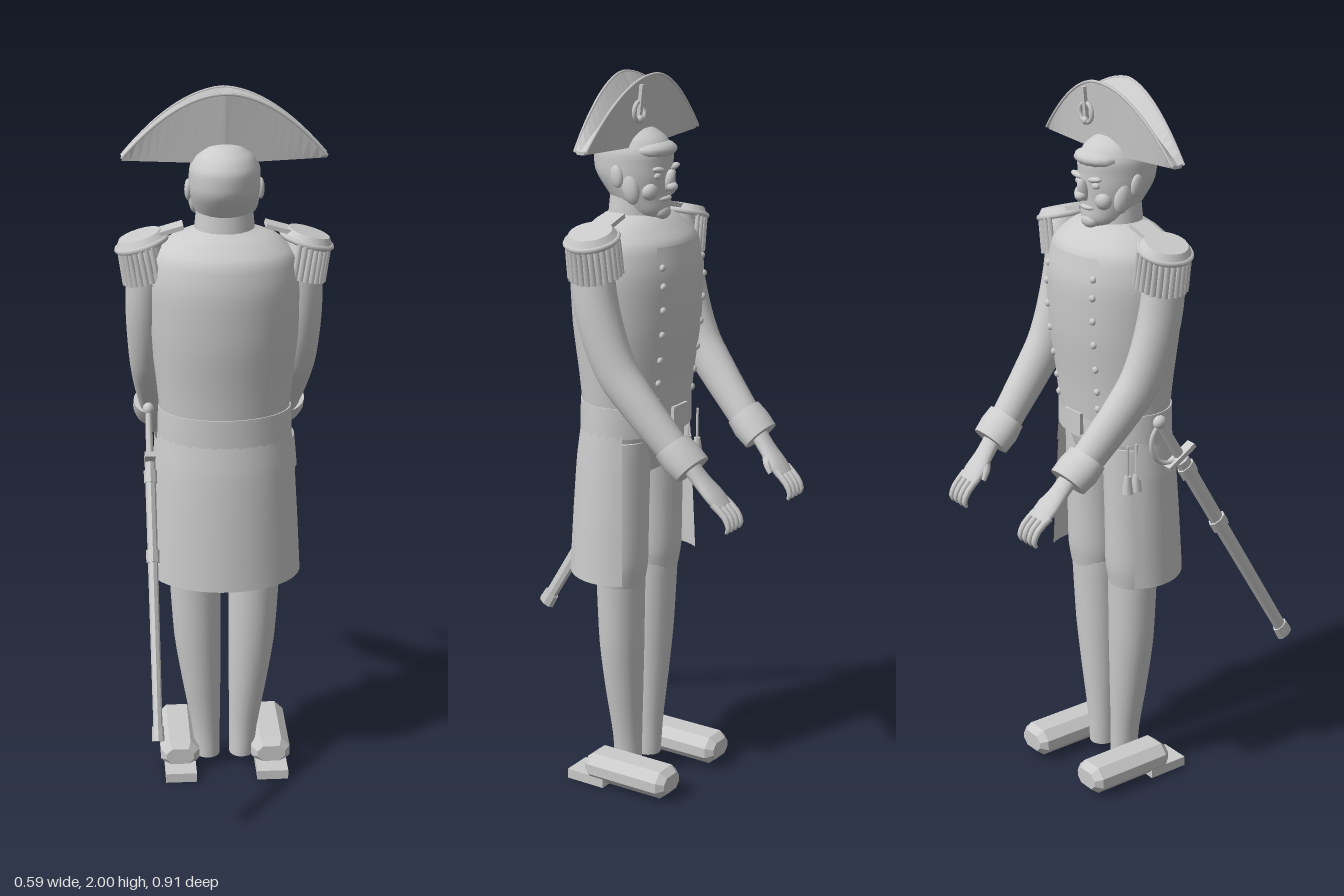
import * as THREE from 'three';

const V = (x, y, z) => new THREE.Vector3(x, y, z);
const grey = new THREE.MeshStandardMaterial({ color: 0xcccccc, side: THREE.DoubleSide });
const flat = new THREE.MeshStandardMaterial({ color: 0xcccccc, side: THREE.DoubleSide, flatShading: true });

// Skin a list of rings (arrays of Vector3); closed rings get end caps
function skin(rings, closed = true) {
  const n = rings[0].length, pos = [], idx = [];
  rings.forEach(r => r.forEach(p => pos.push(p.x, p.y, p.z)));
  for (let r = 0; r < rings.length - 1; r++)
    for (let i = 0; i < (closed ? n : n - 1); i++) {
      const a = r * n + i, b = r * n + (i + 1) % n;
      idx.push(a, a + n, b, b, a + n, b + n);
    }
  if (closed) [0, rings.length - 1].forEach((r, end) => {
    const c = rings[r].reduce((s, p) => s.add(p), V(0, 0, 0)).divideScalar(n);
    const base = pos.length / 3;
    [...rings[r], c].forEach(p => pos.push(p.x, p.y, p.z));
    for (let i = 0; i < n; i++) {
      const a = base + i, b = base + (i + 1) % n;
      idx.push(base + n, ...(end ? [b, a] : [a, b]));
    }
  });
  const g = new THREE.BufferGeometry();
  g.setAttribute('position', new THREE.Float32BufferAttribute(pos, 3));
  g.setIndex(idx);
  g.computeVertexNormals();
  return g;
}

// Loft ellipses [x, y, z, rx, rz]; level keeps them horizontal, from/to (degrees) leaves them open
function loft(pts, { level = false, seg = 24, sub = 4, from = 0, to = 360 } = {}) {
  const path = new THREE.CatmullRomCurve3(pts.map(p => V(p[0], p[1], p[2])), false, 'centripetal');
  const radii = new THREE.CatmullRomCurve3(pts.map(p => V(p[3], p[4], 0)), false, 'centripetal');
  const closed = to - from === 360, steps = (pts.length - 1) * sub, rings = [];
  for (let k = 0; k <= steps; k++) {
    const c = path.getPoint(k / steps), r = radii.getPoint(k / steps), t = path.getTangent(k / steps);
    const v = level ? V(0, 0, 1) : V(0, -t.z, t.y).normalize();
    const ring = [];
    for (let i = 0; i < (closed ? seg : seg + 1); i++) {
      const a = THREE.MathUtils.degToRad(from + (to - from) * i / seg);
      ring.push(c.clone().add(V(r.x * Math.cos(a), 0, 0)).addScaledVector(v, r.y * Math.sin(a)));
    }
    rings.push(ring);
  }
  return skin(rings, closed);
}

function add(parent, name, geo, p = [0, 0, 0], rot = [0, 0, 0], mat = grey) {
  const m = new THREE.Mesh(geo, mat);
  m.name = name;
  m.position.set(...p);
  m.rotation.set(...rot);
  parent.add(m);
  return m;
}
function group(parent, name) {
  const g = new THREE.Group();
  g.name = name;
  parent.add(g);
  return g;
}
function ball(parent, name, p, r, rot) {
  add(parent, name, new THREE.SphereGeometry(1, 14, 10), p, rot).scale.set(...r);
}
const box = (w, h, d) => new THREE.BoxGeometry(w, h, d);
const cyl = (a, b, h, n = 12) => new THREE.CylinderGeometry(a, b, h, n);

const coat = [[0, 1.1, -.03, .178, .13], [0, 1.2, -.03, .188, .14], [0, 1.34, -.03, .203, .158],
  [0, 1.47, -.03, .21, .163], [0, 1.56, -.03, .195, .148], [0, 1.61, -.03, .14, .1], [0, 1.635, -.03, .07, .065]];

function buildHead(parent) {
  const head = group(parent, 'head');
  add(head, 'skull', loft([[0, 1.615, -.06, .045, .05], [0, 1.64, -.057, .063, .068], [0, 1.68, -.04, .08, .085],
    [0, 1.74, -.022, .095, .108], [0, 1.79, -.02, .095, .111], [0, 1.83, -.02, .077, .09],
    [0, 1.855, -.02, .042, .05], [0, 1.863, -.02, .004, .004]], { level: true }));
  ball(head, 'nose', [0, 1.72, -.132], [.014, .032, .016], [-.3, 0, 0]);
  ball(head, 'noseTip', [0, 1.705, -.141], [.016, .013, .016]);
  ball(head, 'chin', [0, 1.635, -.112], [.03, .02, .018]);
  ball(head, 'mouth', [0, 1.672, -.118], [.028, .008, .014]);
  ball(head, 'hairFringe', [0, 1.8, -.085], [.075, .026, .055]);
  for (const s of [-1, 1]) {
    ball(head, 'brow', [s * .037, 1.752, -.122], [.026, .008, .012], [0, 0, s * .15]);
    ball(head, 'eye', [s * .036, 1.735, -.118], [.014, .009, .009]);
    ball(head, 'cheek', [s * .045, 1.695, -.1], [.026, .025, .022]);
    ball(head, 'sideburn', [s * .077, 1.705, -.06], [.018, .045, .026], [.25, 0, 0]);
    ball(head, 'ear', [s * .097, 1.735, -.03], [.01, .03, .019], [.15, 0, 0]);
  }
}

function buildHat(parent) {
  const hat = group(parent, 'hat');
  // V-shaped section, wide at the middle and narrow at the tips
  const rings = [], rim = [[], []];
  for (let i = 0; i <= 24; i++) {
    const x = -.272 + .544 * i / 24, u = Math.abs(x) / .272;
    const top = 2 - .172 * u ** 1.85, low = 1.808 + .008 * u;
    const wt = .018 + .03 * (1 - u), wb = .01 + .017 * (1 - u), dip = (top - low) * .35, c = -.035;
    rings.push([V(x, low, c - wb), V(x, low, c + wb), V(x, top, c + wt),
      V(x, top - dip, c), V(x, top, c - wt)]);
    rim.forEach((r, k) => r.push(V(x, top - .004, c + (k ? 1 : -1) * wt)));
  }
  add(hat, 'brim', skin(rings.reverse()), [0, 0, 0], [0, 0, 0], flat);
  rim.forEach(r => add(hat, 'brimEdge', new THREE.TubeGeometry(new THREE.CatmullRomCurve3(r), 32, .004, 6)));
  add(hat, 'cockade', new THREE.TorusGeometry(.026, .006, 8, 18), [.06, 1.905, -.077]);
  add(hat, 'cockadeStrap', box(.012, .1, .01), [.06, 1.925, -.08], [-.1, 0, 0]);
  ball(hat, 'cockadeButton', [.06, 1.885, -.08], [.011, .011, .009]);
}

function buildTorso(parent) {
  const torso = group(parent, 'torso');
  add(torso, 'coatBody', loft(coat, { level: true, seg: 32 }));
  add(torso, 'collar', loft([[0, 1.6, -.03, .084, .076], [0, 1.645, -.03, .08, .072], [0, 1.685, -.03, .076, .068]], { level: true }));
  // Chest panel with two rows of buttons
  const panel = coat.slice(0, 5).map(([x, y, z, a, b]) => [x, y, z, a + .005, b + .006]);
  add(torso, 'chestPanel', loft(panel, { level: true, from: 238, to: 302, seg: 12 }));
  const curve = new THREE.CatmullRomCurve3(panel.map(p => V(p[3], p[1], p[4])));
  for (const s of [-1, 1]) for (let i = 0; i < 7; i++) {
    const p = curve.getPoint(.1 + i * .125);
    ball(torso, 'button', [s * p.x * .47, p.y, -.03 - p.z * .883], [.01, .01, .008]);
  }
  add(torso, 'belt', loft([[0, 1.04, -.03, .187, .136], [0, 1.08, -.03, .186, .136], [0, 1.125, -.03, .184, .136]], { level: true, seg: 32 }));
  add(torso, 'buckle', box(.07, .06, .012), [0, 1.083, -.168]);
  // Coat tails, open in front
  add(torso, 'coatSkirt', loft([[0, 1.05, -.03, .186, .135], [0, .96, -.03, .195, .148], [0, .8, -.03, .205, .16],
    [0, .63, -.03, .214, .17]], { level: true, from: -27, to: 207, seg: 32 }));
  for (const s of [-1, 1])
    add(torso, 'pocketFlap', loft([[0, .95, -.03, .202, .155], [0, 1.04, -.03, .194, .145]],
      { level: true, from: s > 0 ? -25 : 155, to: s > 0 ? 25 : 205, seg: 8 }));
  add(torso, 'hips', loft([[0, .92, -.03, .12, .07], [0, .98, -.03, .16, .095], [0, 1.07, -.03, .172, .12]], { level: true }));
}

function buildEpaulette(parent, s) {
  const e = group(parent, 'epaulette');
  e.position.set(s * .222, 1.59, -.035);
  e.rotation.z = -s * .28;
  add(e, 'pad', cyl(.058, .073, .022, 20), [0, .012, 0]);
  add(e, 'padEdge', new THREE.TorusGeometry(.069, .008, 6, 24), [0, 0, 0], [Math.PI / 2, 0, 0]);
  add(e, 'strap', box(.1, .012, .06), [-s * .07, .014, 0]);
  for (let i = 0; i < 17; i++) {
    const a = -1.85 + 3.7 * i / 16;
    add(e, 'fringe', cyl(.007, .009, .095, 6), [s * .069 * Math.cos(a), -.05, .069 * Math.sin(a)], [0, 0, s * .12]);
  }
}

function buildArm(parent, s) {
  const arm = group(parent, 'arm');
  const limb = (name, pts, opt) => add(arm, name, loft(pts.map(([x, ...r]) => [s * x, ...r]), opt));
  limb('sleeve', [[.205, 1.6, -.03, .035, .04], [.212, 1.54, -.03, .052, .06], [.215, 1.4, -.047, .053, .062],
    [.21, 1.25, -.1, .05, .06], [.203, 1.17, -.16, .048, .054], [.185, 1.04, -.275, .043, .045]]);
  limb('cuff', [[.187, 1.058, -.262, .059, .047], [.184, 1.03, -.29, .063, .052], [.18, 1.002, -.322, .06, .048]], { sub: 1 });
  limb('palm', [[.178, 1.01, -.315, .028, .022], [.173, .975, -.345, .031, .02], [.167, .935, -.385, .04, .017],
    [.165, .912, -.408, .035, .013]], { seg: 16 });
  for (let i = 0; i < 4; i++) {
    const x = .133 + i * .021;
    limb('finger', [[x + .003, .925, -.395, .009, .01], [x, .895, -.43, .0085, .009], [x, .868, -.443, .008, .008],
      [x, .852, -.437, .005, .005]], { seg: 8, sub: 2 });
  }
  limb('thumb', [[.158, .965, -.35, .012, .012], [.134, .945, -.368, .011, .011], [.124, .92, -.385, .006, .007]], { seg: 8 });
}

function buildLeg(parent, s) {
  const leg = group(parent, 'leg');
  add(leg, 'breeches', loft([[s * .087, .6, -.035, .07, .066], [s * .087, .66, -.037, .078, .073],
    [s * .087, .8, -.035, .078, .078], [s * .085, 1.02, -.03, .084, .088]], { level: true }));
  add(leg, 'stocking', loft([[s * .05, .03, -.037, .036, .04], [s * .055, .12, -.037, .041, .042],
    [s * .068, .28, -.034, .056, .054], [s * .078, .42, -.033, .067, .062], [s * .085, .62, -.034, .073, .067]], { level: true }));
  // Shoe: chamfered block with a flat heel
  const w = .04, h = .024, c = .016;
  const oct = new THREE.Shape([[-w, -h + c], [-w + c, -h], [w - c, -h], [w, -h + c], [w, h - c], [w - c, h],
    [-w + c, h], [-w, h - c]].map(p => new THREE.Vector2(...p)));
  add(leg, 'shoe', new THREE.ExtrudeGeometry(oct, { depth: .225, bevelSize: .016, bevelThickness: .02, bevelSegments: 1 }),
    [s * .133, .052, -.215], [0, 0, 0], flat);
  add(leg, 'heel', box(.09, .028, .12), [s * .133, .014, .027], [0, 0, 0], flat);
}

function buildSword(parent) {
  const sword = group(parent, 'sword');
  sword.position.set(-.21, .335, .433);
  sword.rotation.x = -.546;
  const tube = (name, r0, r1, h, y, m = flat) => {
    add(sword, name, cyl(r1, r0, h, 8), [0, y, 0], [0, 0, 0], m).scale.x = .65;
  };
  tube('scabbard', .019, .023, .74, .39);
  tube('scabbardTip', .026, .024, .04, .02);
  tube('lowerBand', .028, .028, .035, .5);
  tube('upperBand', .028, .028, .035, .72);
  add(sword, 'guard', box(.03, .014, .1), [0, .775, 0]);
  tube('grip', .016, .014, .12, .84, grey);
  ball(sword, 'pommel', [0, .91, 0], [.016, .018, .02]);
  add(sword, 'knuckleGuard', new THREE.TorusGeometry(.065, .006, 6, 16, Math.PI), [0, .84, 0], [0, Math.PI / 2, -Math.PI / 2]);
  // Hanging tassels beside the hilt
  for (const z of [-.09, -.12]) {
    add(parent, 'tasselCord', cyl(.004, .004, .1, 6), [-.175, 1.0, z]);
    add(parent, 'tassel', cyl(.009, .016, .05, 8), [-.175, .94, z]);
  }
}

export function createModel() {
  const model = new THREE.Group();
  model.name = 'officerFigure';
  buildHead(model);
  buildHat(model);
  buildTorso(model);
  for (const s of [-1, 1]) {
    buildEpaulette(model, s);
    buildArm(model, s);
    buildLeg(model, s);
  }
  buildSword(model);
  return model;
}
